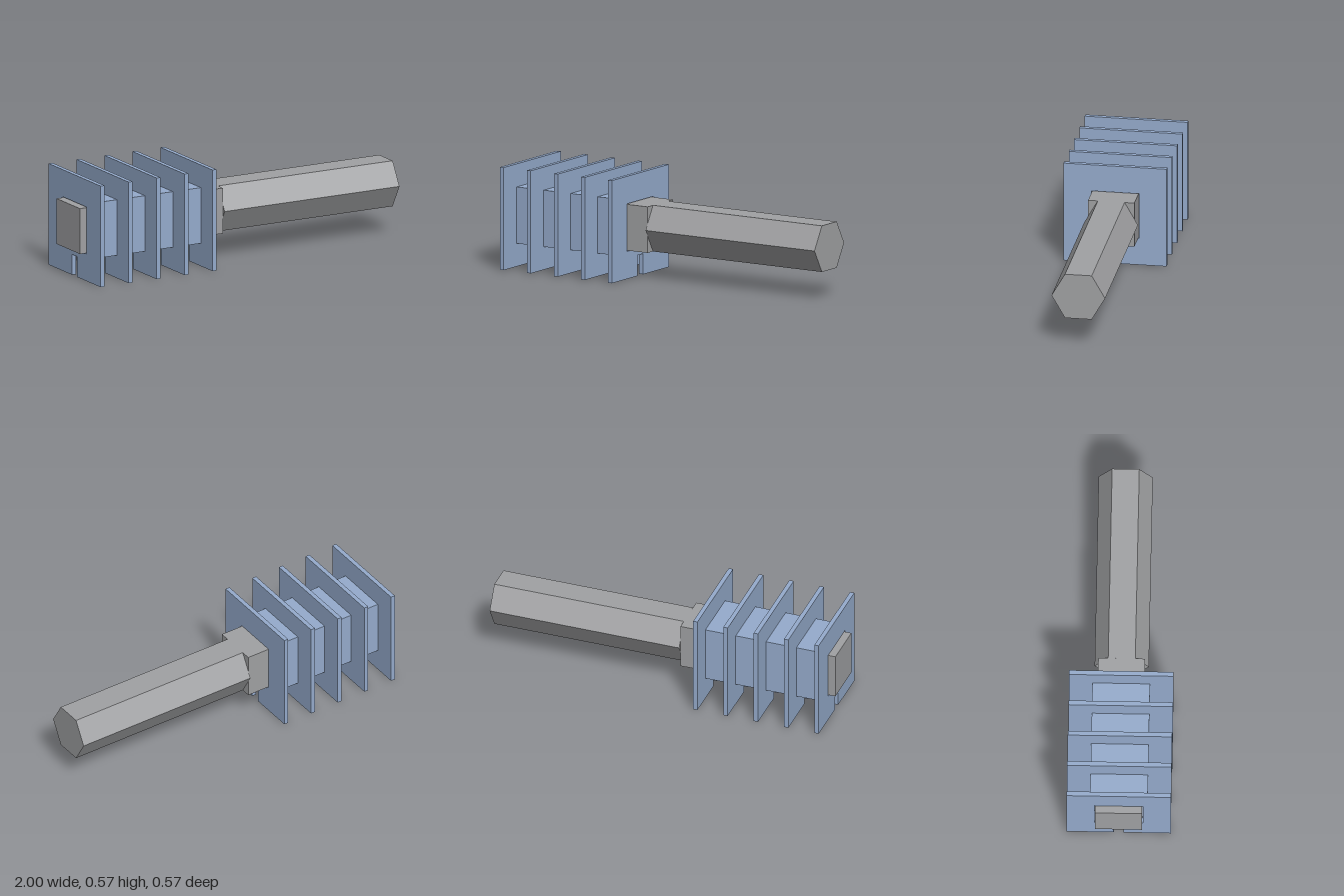
import * as THREE from 'three';

const CY = 0.285; // height of the shaft axis
const HOLE = 0.132; // half width of the square bore

// Extrudes a (z, y) outline with the square bore along x, starting at x0
function bored(points, x0, length) {
  const shape = new THREE.Shape(points.map(([a, b]) => new THREE.Vector2(a, b)));
  const h = HOLE;
  shape.holes.push(new THREE.Path(
    [[-h, CY - h], [-h, CY + h], [h, CY + h], [h, CY - h]].map(([a, b]) => new THREE.Vector2(a, b))
  ));
  const g = new THREE.ExtrudeGeometry(shape, { depth: length, bevelEnabled: false });
  g.rotateY(Math.PI / 2);
  g.translate(x0, 0, 0);
  return g;
}

export function createModel() {
  const model = new THREE.Group();
  const steel = new THREE.MeshStandardMaterial({ color: 0xa0a1a3 });
  steel.name = 'steel grey';
  const blue = new THREE.MeshStandardMaterial({ color: 0x95abcc });
  blue.name = 'pale blue';
  const add = (name, geometry, material) => {
    const mesh = new THREE.Mesh(geometry, material);
    mesh.name = name;
    model.add(mesh);
    return mesh;
  };

  // Square shaft running through the fins
  add('squareShaft', new THREE.BoxGeometry(0.9, 0.256, 0.256), steel).position.set(-0.55, CY, 0);

  // Hexagonal handle with corners pointing to front and back
  const hex = new THREE.CylinderGeometry(0.148, 0.148, 1.1, 6).toNonIndexed();
  hex.computeVertexNormals();
  hex.rotateZ(-Math.PI / 2);
  add('hexHandle', hex, steel).position.set(0.45, CY, 0);

  // Slotted square fins, with sleeve sections between them
  const W = 0.285, S = 0.027, T = 0.025, PITCH = 0.176, FIRST = -0.96;
  const finOutline = [[-W, 0], [-S, 0], [-S, 0.115], [S, 0.115], [S, 0], [W, 0], [W, 2 * W], [-W, 2 * W]];
  const R = 0.157;
  const sleeveOutline = [[-R, CY - R], [R, CY - R], [R, CY + R], [-R, CY + R]];
  for (let i = 0; i < 5; i++) {
    const x = FIRST + i * PITCH;
    add(`fin${i + 1}`, bored(finOutline, x, T), blue);
    if (i < 4) add(`sleeve${i + 1}`, bored(sleeveOutline, x + T, PITCH - T), blue);
  }
  return model;
}
